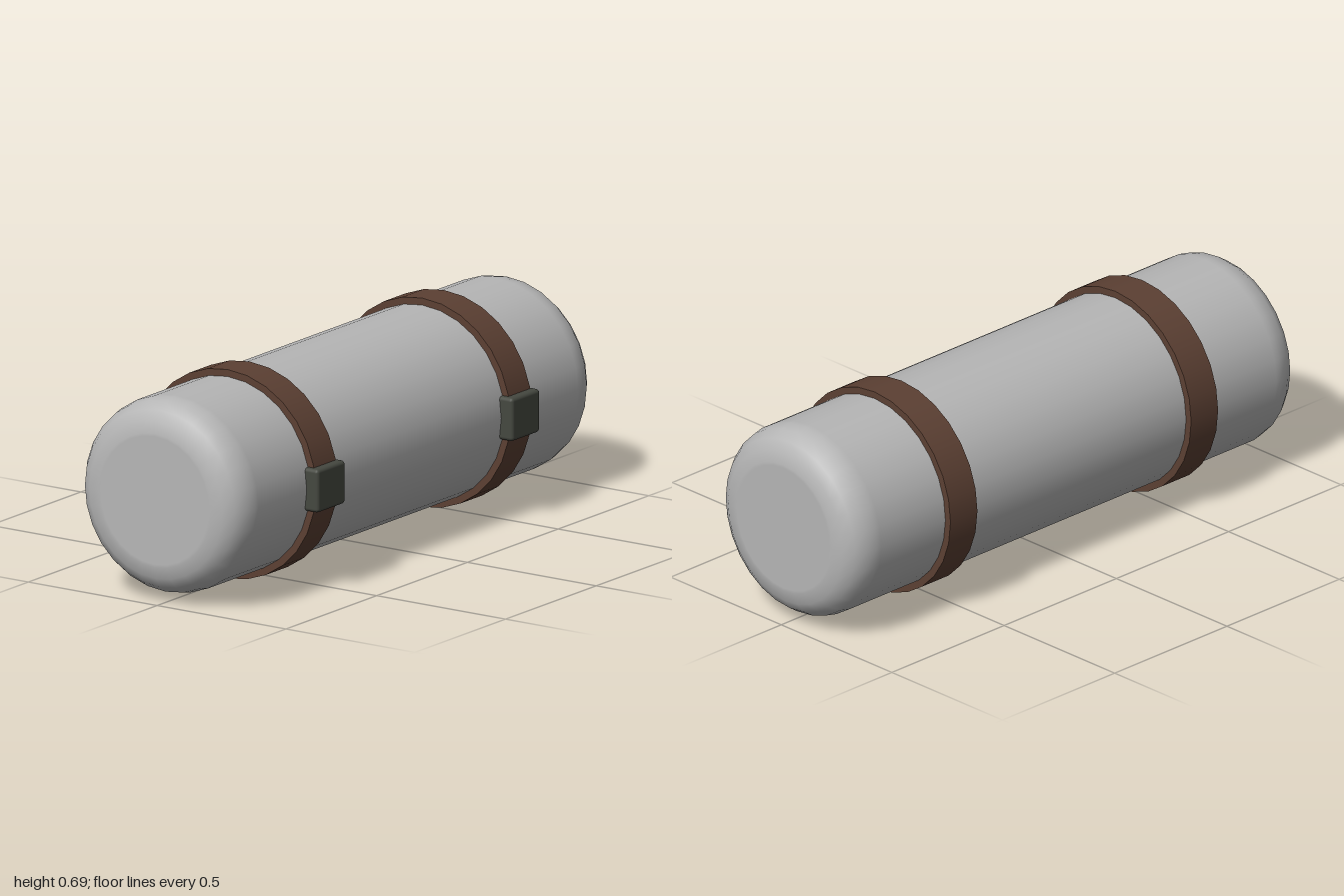
import * as THREE from 'three';
import { RoundedBoxGeometry } from 'three/addons/geometries/RoundedBoxGeometry.js';

const SIDES = 28;
const CENTER_Y = 0.343, CENTER_Z = -0.01;
const BODY_R = 0.32, STRAP_R = 0.343, EDGE_R = 0.1;

function material(name, color) {
  const m = new THREE.MeshStandardMaterial({ color });
  m.name = name;
  return m;
}

// Profile of a cylinder with rounded rims, from one end to the other
function rollProfile() {
  const half = [new THREE.Vector2(0, 1), new THREE.Vector2(BODY_R - EDGE_R - 0.01, 1)];
  for (let i = 0; i <= 4; i++) {
    const a = (i / 4) * Math.PI / 2;
    half.push(new THREE.Vector2(
      BODY_R - EDGE_R + EDGE_R * Math.sin(a),
      1 - EDGE_R + EDGE_R * Math.cos(a)));
  }
  half.push(new THREE.Vector2(BODY_R, 0.88));
  const other = half.map(p => new THREE.Vector2(p.x, -p.y));
  return [...other, ...half.reverse()];
}

export function createModel() {
  const group = new THREE.Group();
  group.name = 'strappedRoll';
  const cloth = material('grey cloth', 0xb6b6b6);
  const leather = material('brown leather', 0x5c4033);
  const metal = material('dark metal', 0x454840);

  function add(name, geometry, mat, x, y, z) {
    const mesh = new THREE.Mesh(geometry, mat);
    mesh.name = name;
    mesh.position.set(x, y, z);
    group.add(mesh);
  }

  // Rolled body lying along x
  const body = new THREE.LatheGeometry(rollProfile(), SIDES).rotateZ(Math.PI / 2);
  add('roll', body, cloth, 0, CENTER_Y, CENTER_Z);

  // Two straps, each with a buckle at the front
  const strap = new THREE.CylinderGeometry(STRAP_R, STRAP_R, 0.12, SIDES).rotateZ(Math.PI / 2);
  const buckle = new RoundedBoxGeometry(0.155, 0.142, 0.06, 2, 0.012);
  for (const [side, x] of [['right', -0.538], ['left', 0.534]]) {
    add(side + 'Strap', strap, leather, x, CENTER_Y, CENTER_Z);
    add(side + 'Buckle', buckle, metal, x, CENTER_Y, 0.323);
  }
  return group;
}
